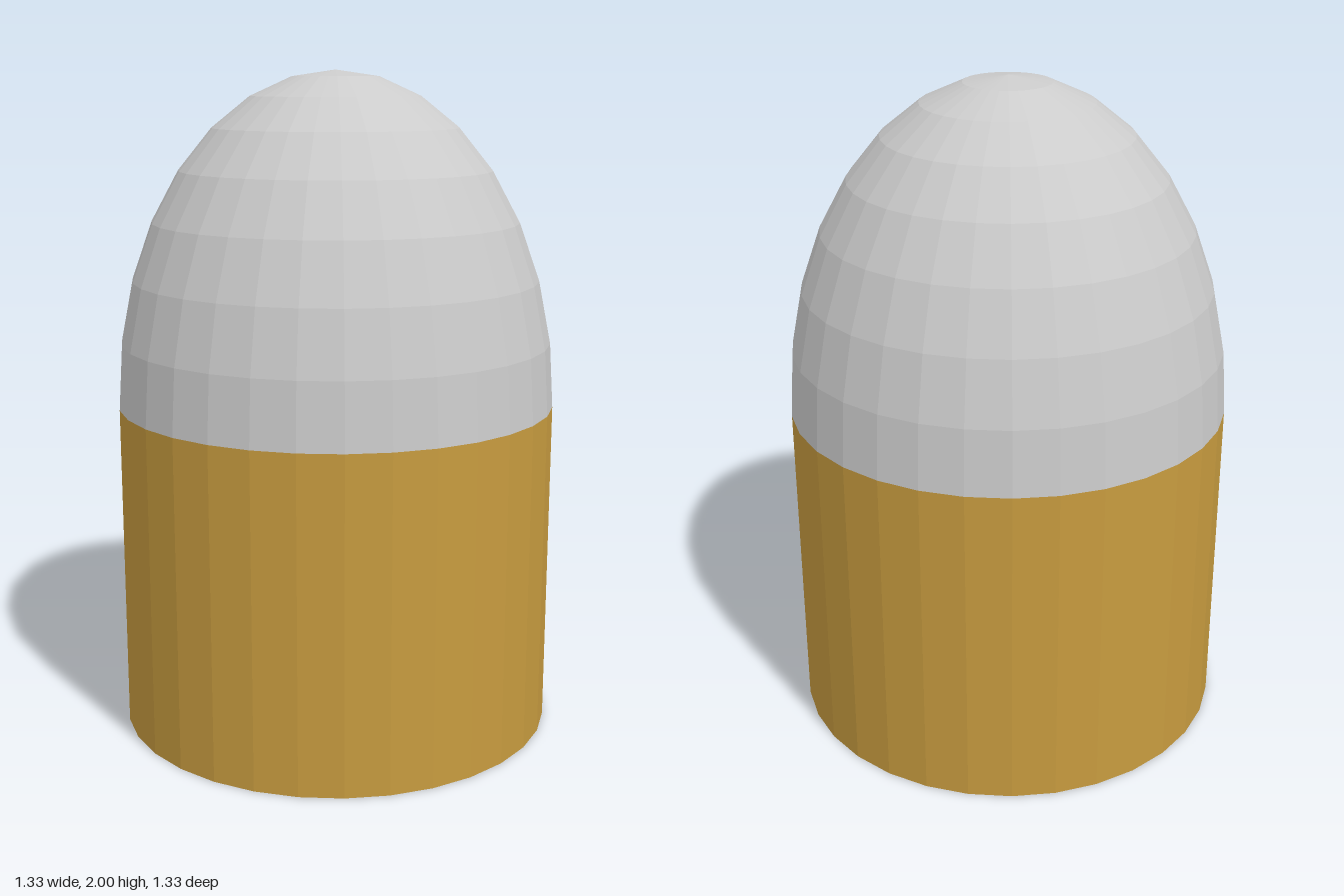
import * as THREE from 'three';

const RADIUS = 2 / 3;
const SIDES = 32;
const BODY_HEIGHT = 1;
const DOME_HEIGHT = 1;

export function createModel() {
  const group = new THREE.Group();
  const brass = new THREE.MeshStandardMaterial({ color: 0xc79b3f, flatShading: true });
  const grey = new THREE.MeshStandardMaterial({ color: 0xcccccc, flatShading: true });

  // Straight cylindrical casing standing on the ground
  const casing = new THREE.Mesh(
    new THREE.CylinderGeometry(RADIUS, RADIUS, BODY_HEIGHT, SIDES), brass);
  casing.name = 'casing';
  casing.position.y = BODY_HEIGHT / 2;

  // Half-ellipsoid tip with eight rings of facets
  const domeGeometry = new THREE.SphereGeometry(RADIUS, SIDES, 8, 0, Math.PI * 2, 0, Math.PI / 2);
  domeGeometry.scale(1, DOME_HEIGHT / RADIUS, 1);
  const dome = new THREE.Mesh(domeGeometry, grey);
  dome.name = 'domedTip';
  dome.position.y = BODY_HEIGHT;

  group.add(casing, dome);
  return group;
}
